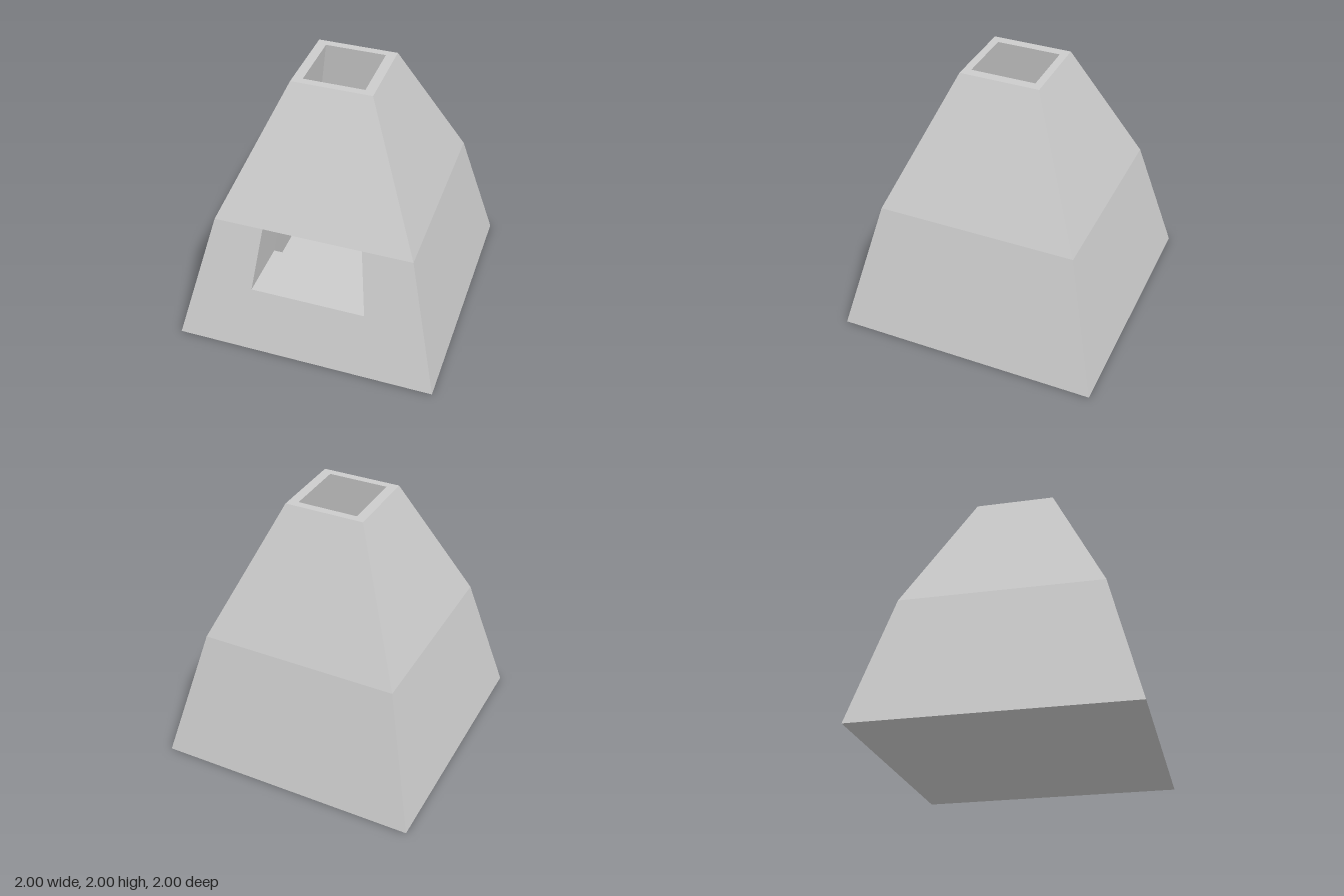
import * as THREE from 'three';

const material = new THREE.MeshStandardMaterial({ color: 0xcccccc, flatShading: true });

// Four corners of a level rectangle, starting front left, counter-clockwise from above
const ring = ([hx, y, hz]) => [[-hx, y, hz], [hx, y, hz], [hx, y, -hz], [-hx, y, -hz]];

// Front edge pair of two levels as one loop: bottom two corners, then top two
const frontLoop = (low, high) => {
  const a = ring(low), b = ring(high);
  return [a[0], a[1], b[1], b[0]];
};

// Quads joining two matching four-corner loops
const bridge = (a, b) => a.map((p, i) => {
  const j = (i + 1) % 4;
  return [p, a[j], b[j], b[i]];
});

const flip = (quads) => quads.map((q) => [...q].reverse());

function makeMesh(name, quads) {
  const points = quads.flatMap(([a, b, c, d]) => [a, b, c, a, c, d]).flat();
  const geometry = new THREE.BufferGeometry();
  geometry.setAttribute('position', new THREE.Float32BufferAttribute(points, 3));
  geometry.computeVertexNormals();
  const mesh = new THREE.Mesh(geometry, material);
  mesh.name = name;
  return mesh;
}

export function createModel() {
  const model = new THREE.Group();
  model.name = 'hollowTower';

  // Levels as [half width, height, half depth]
  const base = [1, 0, 1], waist = [0.75, 1, 0.75], top = [0.3, 2, 0.3];
  const cavity = [[0.468, 0.28, 0.445], [0.4375, 0.5, 0.419], [0.37, 1, 0.361], [0.2275, 2, 0.2425]];
  const windowOuter = frontLoop([0.4375, 0.5, 0.875], [0.375, 1, 0.75]);
  const windowInner = frontLoop(cavity[1], cavity[2]);

  // Lower body: three plain sides, and a front framed around the window
  const lowerSides = bridge(ring(base), ring(waist)).slice(1);
  const lowerFront = bridge(frontLoop(base, waist), windowOuter).filter((_, i) => i !== 2);
  model.add(makeMesh('lowerBody', [...lowerSides, ...lowerFront]));

  // Steeper upper body and the rim around the top opening
  model.add(makeMesh('upperBody', bridge(ring(waist), ring(top))));
  model.add(makeMesh('topRim', bridge(ring(top), ring(cavity[3]))));
  model.add(makeMesh('underside', flip([ring(base)])));

  // Tapered cavity, left open at the front where the window meets it
  const walls = [];
  for (let i = 0; i < 3; i++) {
    const sides = bridge(ring(cavity[i]), ring(cavity[i + 1]));
    walls.push(...flip(i === 1 ? sides.slice(1) : sides));
  }
  model.add(makeMesh('cavityWalls', walls));
  model.add(makeMesh('cavityFloor', [ring(cavity[0])]));

  // Passage from the front window to the cavity
  model.add(makeMesh('windowPassage', bridge(windowOuter, windowInner)));
  return model;
}
